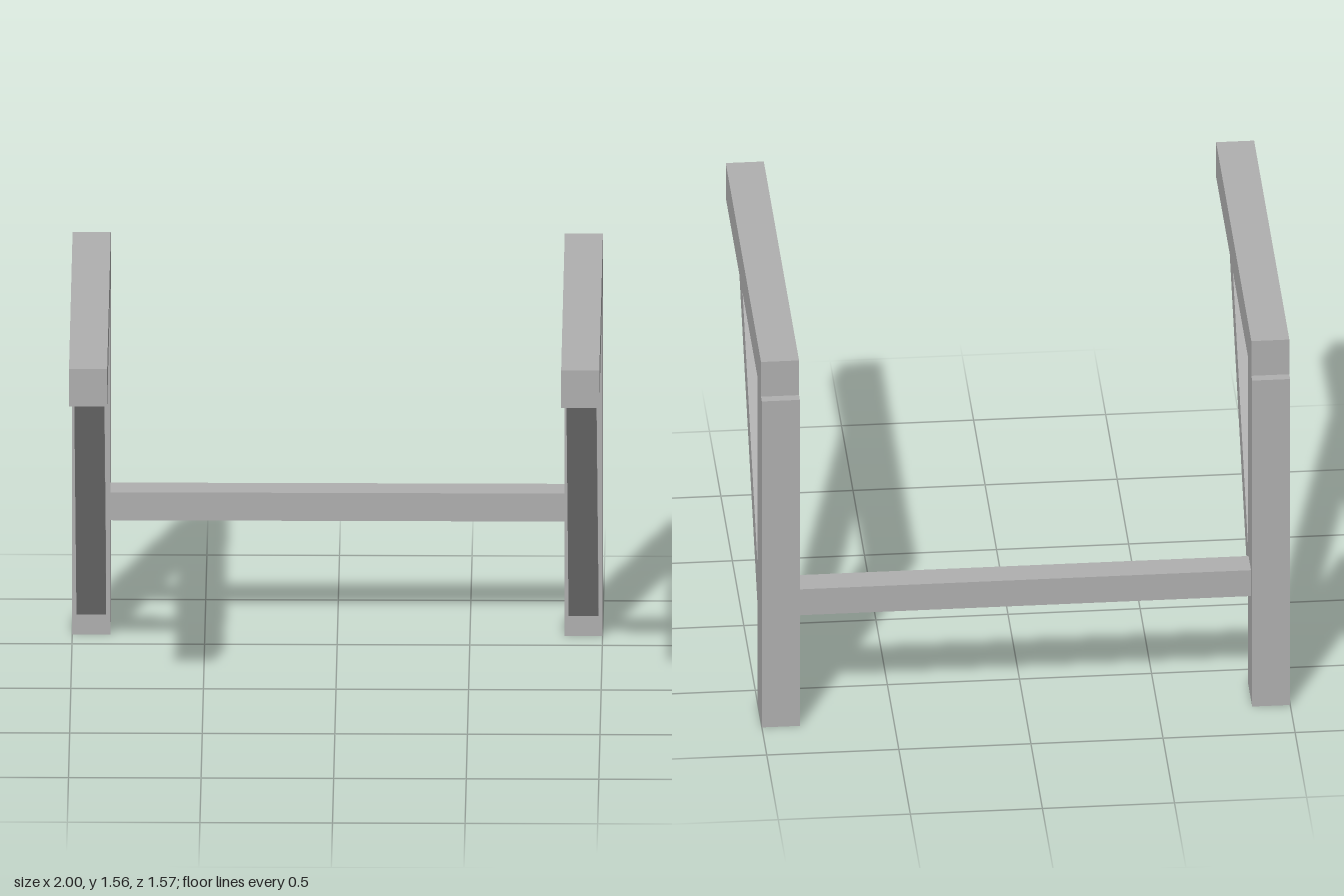
import * as THREE from 'three';

export function createModel() {
  const group = new THREE.Group();
  const grey = new THREE.MeshStandardMaterial({ color: 0xb0b0b0 });
  grey.name = 'grey';

  const add = (name, geometry) => {
    const mesh = new THREE.Mesh(geometry, grey);
    mesh.name = name;
    group.add(mesh);
    return mesh;
  };

  // Box given by its lower and upper limits on each axis
  const beam = (name, [x0, x1], [y0, y1], [z0, z1]) =>
    add(name, new THREE.BoxGeometry(x1 - x0, y1 - y0, z1 - z0))
      .position.set((x0 + x1) / 2, (y0 + y1) / 2, (z0 + z1) / 2);

  // Diagonal brace outline as (z, y), mitred against the post and the arm
  const braceShape = new THREE.Shape([
    [-0.605, 0.08], [0.46, 1.41], [0.32, 1.41], [-0.605, 0.255],
  ].map(([z, y]) => new THREE.Vector2(z, y)));
  const braceWidth = 0.112;
  const braceGeometry = new THREE.ExtrudeGeometry(braceShape, { depth: braceWidth, bevelEnabled: false });
  braceGeometry.translate(0, 0, -braceWidth / 2).rotateY(-Math.PI / 2);

  // Two mirrored side frames
  for (const [side, s] of [['left', 1], ['right', -1]]) {
    const xs = s > 0 ? [0.856, 1] : [-1, -0.856];
    beam(side + 'Post', xs, [0, 1.41], [-0.787, -0.605]);
    beam(side + 'Arm', xs, [1.41, 1.56], [-0.75, 0.787]);
    add(side + 'Brace', braceGeometry).position.x = s * 0.928;
  }

  // Rail joining the posts
  beam('crossRail', [-0.856, 0.856], [0.45, 0.562], [-0.737, -0.627]);

  return group;
}
